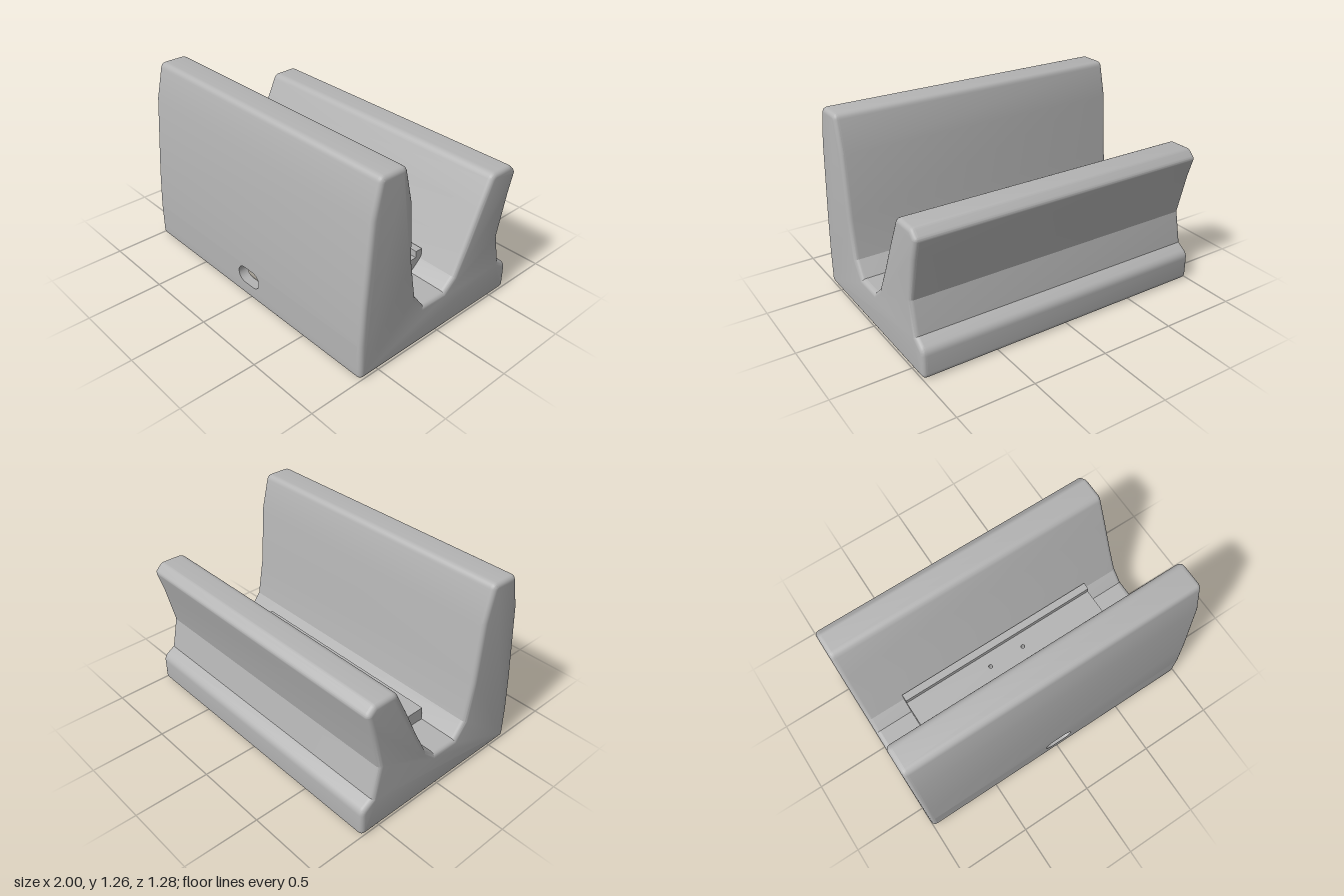
import * as THREE from 'three';
import { toCreasedNormals } from 'three/addons/utils/BufferGeometryUtils.js';

const V = (x, y) => new THREE.Vector2(x, y);
const BEVEL = 0.03, FRONT = 0.645, FLOOR = 0.26;
const RECESS_TOP = 0.035, CEILING = 0.23, CAVITY_FRONT = 0.58;

// Side profile as [z, y, corner cut], running up the front and down the back
const PROFILE = [
  [FRONT, 0, 0.035], [FRONT, 0.08], [FRONT, 0.235], [0.63, 0.5], [0.585, 1.03],
  [0.53, 1.265, 0.035], [0.342, 1.265, 0.035], [0.285, 1.03], [0.255, 0.62],
  [0.21, 0.36], [0.135, FLOOR], [-0.04, FLOOR], [-0.12, 0.33], [-0.21, 0.51],
  [-0.31, 0.73], [-0.402, 0.92, 0.035], [-0.567, 0.92, 0.015], [-0.622, 0.868, 0.02],
  [-0.58, 0.73], [-0.515, 0.45], [-0.56, 0.24], [-0.64, 0.187, 0.035], [-0.64, 0, 0.035],
];

function roundedOutline(corners) {
  const n = corners.length, out = [];
  corners.forEach(([x, y, d], i) => {
    const p = V(x, y);
    if (!d) return out.push(p);
    const toward = (q) => V(q[0], q[1]).sub(p).setLength(d).add(p);
    const curve = new THREE.QuadraticBezierCurve(
      toward(corners[(i + n - 1) % n]), p, toward(corners[(i + 1) % n]));
    out.push(...curve.getPoints(6));
  });
  return out;
}

const rect = (x0, x1, y0, y1) => [V(x0, y0), V(x1, y0), V(x1, y1), V(x0, y1)];
const circle = (cx, cy, r, n = 24) => Array.from({ length: n }, (_, i) => {
  const a = (i / n) * Math.PI * 2;
  return V(cx + r * Math.cos(a), cy + r * Math.sin(a));
});

function shapeOf(outline, holes = []) {
  const s = new THREE.Shape(outline);
  s.holes = holes.map((h) => new THREE.Path(h));
  return s;
}

// Flat horizontal face at height y, outline given in (x, z)
const level = (y, outline, holes) =>
  new THREE.ShapeGeometry(shapeOf(outline, holes)).rotateX(Math.PI / 2).translate(0, y, 0);

// Upright face at depth z, outline given in (x, y)
const upright = (z, outline, holes) =>
  new THREE.ShapeGeometry(shapeOf(outline, holes)).translate(0, 0, z);

// Wall swept between two levels; place maps (point, level) to a position
function wall(points, a, b, place, closed = true) {
  const pos = [], n = points.length;
  for (let i = 0; i < (closed ? n : n - 1); i++) {
    const p = points[i], q = points[(i + 1) % n];
    for (const [c, h] of [[p, a], [p, b], [q, b], [p, a], [q, b], [q, a]]) pos.push(...place(c, h));
  }
  const g = new THREE.BufferGeometry();
  g.setAttribute('position', new THREE.Float32BufferAttribute(pos, 3));
  g.computeVertexNormals();
  return toCreasedNormals(g, 0.5);
}
const vertical = (p, h) => [p.x, h, p.y];
const forward = (p, h) => [p.x, p.y, h];

// Remove the triangles whose three corners all pass the test
function cutFaces(geometry, test) {
  const src = geometry.index ? geometry.toNonIndexed() : geometry;
  const a = src.attributes.position, pos = [];
  for (let i = 0; i < a.count; i += 3) {
    const tri = [0, 1, 2].map((k) => [a.getX(i + k), a.getY(i + k), a.getZ(i + k)]);
    if (!test(tri)) pos.push(...tri.flat());
  }
  const g = new THREE.BufferGeometry();
  g.setAttribute('position', new THREE.Float32BufferAttribute(pos, 3));
  g.computeVertexNormals();
  return g;
}

export function createModel() {
  const model = new THREE.Group();
  model.name = 'dockingStand';
  const grey = new THREE.MeshStandardMaterial({ color: 0xb4b4b4, side: THREE.DoubleSide });
  grey.name = 'lightGrey';
  const add = (name, geometry) => {
    const m = new THREE.Mesh(geometry, grey);
    m.name = name;
    model.add(m);
  };

  // Body shell, left open underneath, at the cable slot and on the cradle floor
  const len = 2 - 2 * BEVEL;
  const body = new THREE.ExtrudeGeometry(shapeOf(roundedOutline(PROFILE)), {
    depth: len, bevelSize: BEVEL, bevelThickness: BEVEL, bevelOffset: -BEVEL, bevelSegments: 5,
  }).rotateY(-Math.PI / 2).translate(len / 2, 0, 0);
  const e = 1e-4;
  const shell = cutFaces(body, (t) =>
    t.every((p) => Math.abs(p[1]) < e) ||
    t.every((p) => Math.abs(p[1] - FLOOR) < e && p[2] > -0.04 - e && p[2] < 0.135 + e) ||
    t.every((p) => p[2] > FRONT - e && p[1] > 0.08 - e && p[1] < 0.235 + e));
  add('body', toCreasedNormals(shell, 0.35));

  // Outlines of the openings
  const half = len / 2;
  const pins = [-0.13, 0.13].map((x) => circle(x, 0.01, 0.013, 12));
  const recess = rect(-0.245, 0.245, -0.245, 0.59);
  const cavity = [V(0.12, CAVITY_FRONT), V(0.2, 0.5), V(0.2, -0.2),
    V(-0.2, -0.2), V(-0.2, 0.5), V(-0.12, CAVITY_FRONT)];
  const slot = [];
  for (const s of [1, -1]) {
    for (let i = 0; i <= 10; i++) {
      const a = -Math.PI / 2 + (i / 10) * Math.PI;
      slot.push(V(s * (0.042 + 0.058 * Math.cos(a)), 0.158 + s * 0.058 * Math.sin(a)));
    }
  }
  const feet = [], screws = [];
  for (const x of [-1, 1]) {
    for (const z of [-0.51, 0.51]) feet.push(circle(x * 0.85, z, 0.062));
    for (const z of [-0.1, 0.51]) screws.push(circle(x * 0.33, z, 0.012, 10));
  }

  // Underside with foot wells and screw holes
  add('underside', level(0, rect(-half, half, -0.605, 0.61), [recess, ...feet, ...screws]));
  for (const [name, list] of [['footWell', feet], ['screwHole', screws]]) {
    for (const ring of list) {
      add(name + 'Wall', wall(ring, 0, 0.03, vertical));
      add(name + 'Base', level(0.03, ring));
    }
  }

  // Cover recess and the electronics cavity above it
  add('recessWall', wall(recess, 0, RECESS_TOP, vertical));
  add('recessLedge', level(RECESS_TOP, recess, [cavity]));
  add('cavityWall', wall(cavity, RECESS_TOP, CEILING, vertical, false));
  add('cavityFrontWall', upright(CAVITY_FRONT, rect(-0.12, 0.12, RECESS_TOP, CEILING), [slot]));
  add('cavityCeiling', level(CEILING, cavity, pins));

  // Cable slot through the front
  add('frontPanel', upright(FRONT, rect(-half, half, 0.08, 0.235), [slot]));
  add('cableSlot', wall(slot, CAVITY_FRONT, FRONT, forward));

  // Cradle floor, support block with pin holes, and its rear lip
  add('cradleFloor', level(FLOOR, rect(-half, half, -0.04, 0.135), pins));
  const block = new THREE.ExtrudeGeometry(
    shapeOf(rect(-0.73, 0.73, -0.08, 0.133), pins), { depth: 0.12, bevelEnabled: false });
  add('supportBlock', block.rotateX(Math.PI / 2).translate(0, 0.35, 0));
  add('supportLip', new THREE.BoxGeometry(1.46, 0.135, 0.05).translate(0, 0.3275, -0.105));

  return model;
}
